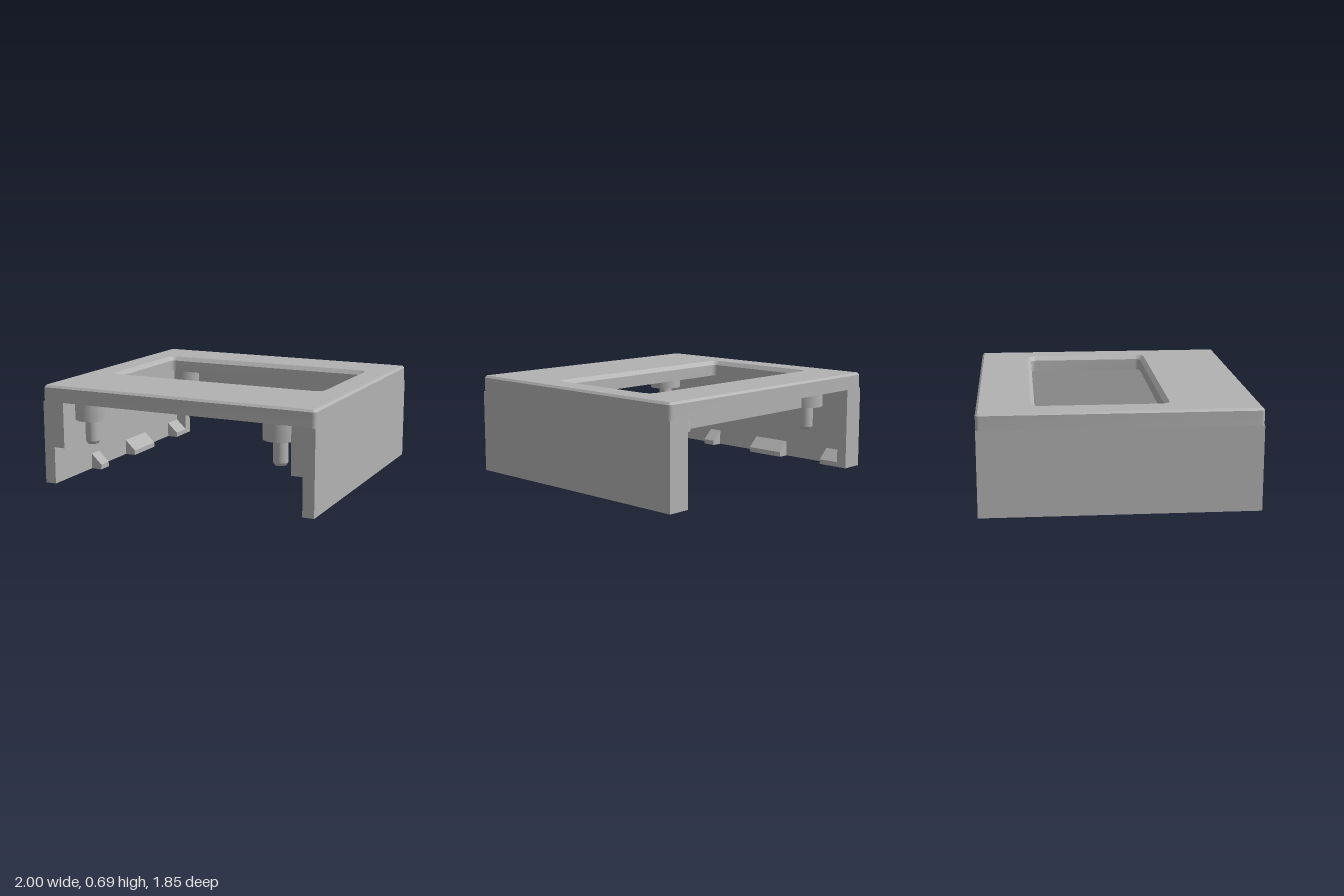
import * as THREE from 'three';
import { mergeGeometries, toCreasedNormals } from 'three/addons/utils/BufferGeometryUtils.js';

const TOP = 0.69, UNDER = 0.577, HALF_Z = 0.925;

// Rounded rectangle in plan, counter-clockwise from above, as (x, -z) points
function plan(x0, x1, z0, z1, r, steps = 6) {
  const points = [];
  const centres = [[x1 - r, -z0 - r], [x0 + r, -z0 - r], [x0 + r, -z1 + r], [x1 - r, -z1 + r]];
  centres.forEach(([cx, cy], q) => {
    for (let i = 0; i <= steps; i++) {
      const a = (q + i / steps) * Math.PI / 2;
      points.push(new THREE.Vector2(cx + r * Math.cos(a), cy + r * Math.sin(a)));
    }
  });
  return points;
}

// Strip of faces joining two plan loops at two heights
function band(low, yLow, high, yHigh, inward = false) {
  const positions = [];
  const put = (p, y) => positions.push(p.x, y, -p.y);
  for (let i = 0; i < low.length; i++) {
    const j = (i + 1) % low.length;
    const quad = [[low[i], yLow], [low[j], yLow], [high[j], yHigh], [high[i], yHigh]];
    if (inward) quad.reverse();
    [0, 1, 2, 0, 2, 3].forEach((k) => put(...quad[k]));
  }
  const geometry = new THREE.BufferGeometry();
  geometry.setAttribute('position', new THREE.Float32BufferAttribute(positions, 3));
  geometry.computeVertexNormals();
  return geometry;
}

// Flat horizontal face with optional openings
function sheet(outline, holes, y, up) {
  const shape = new THREE.Shape(outline);
  holes.forEach((h) => shape.holes.push(new THREE.Path(h)));
  const geometry = new THREE.ShapeGeometry(shape).toNonIndexed();
  geometry.deleteAttribute('uv');
  geometry.rotateX(-Math.PI / 2).translate(0, y, 0);
  if (!up) {
    const p = geometry.attributes.position;
    const a = new THREE.Vector3(), b = new THREE.Vector3();
    for (let i = 0; i < p.count; i += 3) {
      a.fromBufferAttribute(p, i + 1);
      b.fromBufferAttribute(p, i + 2);
      p.setXYZ(i + 1, b.x, b.y, b.z);
      p.setXYZ(i + 2, a.x, a.y, a.z);
    }
  }
  geometry.computeVertexNormals();
  return geometry;
}

// Side profile (x, y) carried along z
function prism(points, side, z0, z1) {
  const shape = new THREE.Shape(points.map(([x, y]) => new THREE.Vector2(x * side, y)));
  return new THREE.ExtrudeGeometry(shape, { depth: z1 - z0, bevelEnabled: false }).translate(0, 0, z0);
}

export function createModel() {
  const model = new THREE.Group();
  model.name = 'frameCover';
  const grey = new THREE.MeshStandardMaterial({ color: 0xb2b2b2 });
  grey.name = 'grey plastic';

  function add(name, geometry, parent = model) {
    const mesh = new THREE.Mesh(geometry, grey);
    mesh.name = name;
    parent.add(mesh);
    return mesh;
  }

  // Top plate: chamfered rim, chamfered window and a shallow slot underneath
  const rim = plan(-1, 1, -HALF_Z, HALF_Z, 0.025);
  const rimTop = plan(-0.985, 0.985, -HALF_Z + 0.015, HALF_Z - 0.015, 0.01);
  const opening = plan(-0.79, 0.79, -0.545, 0.31, 0.035);
  const openingTop = plan(-0.817, 0.817, -0.572, 0.337, 0.062);
  const slot = plan(-0.32, 0.32, -0.84, -0.71, 0.005, 1);
  const slotRoof = UNDER + 0.05;
  const plate = mergeGeometries([
    band(rim, UNDER, rim, TOP - 0.015),
    band(rim, TOP - 0.015, rimTop, TOP),
    band(opening, UNDER, opening, TOP - 0.03, true),
    band(opening, TOP - 0.03, openingTop, TOP, true),
    sheet(rimTop, [openingTop], TOP, true),
    sheet(rim, [opening, slot], UNDER, false),
    band(slot, UNDER, slot, slotRoof, true),
    sheet(slot, [], slotRoof, false),
  ]);
  add('topPlate', toCreasedNormals(plate, 0.5));

  // Side walls, thinner along the bottom, closed at the back, with snap clips
  const wallProfile = [[0.92, 0], [1, 0], [1, UNDER], [0.84, UNDER], [0.84, 0.26], [0.92, 0.26]];
  const blockProfile = [[0.84, 0], [1, 0], [1, UNDER], [0.84, UNDER]];
  const clipProfile = [[0.84, 0], [0.92, 0], [0.92, 0.11], [0.84, 0.035]];
  const clipSpans = [[0.36, 0.46], [-0.32, -0.02], [-0.85, -0.695]];
  for (const side of [1, -1]) {
    const wall = new THREE.Group();
    wall.name = side > 0 ? 'leftWall' : 'rightWall';
    model.add(wall);
    add('wallPanel', prism(wallProfile, side, -0.85, HALF_Z), wall);
    add('wallBackEnd', prism(blockProfile, side, -HALF_Z, -0.85), wall);
    clipSpans.forEach(([z0, z1]) => add('snapClip', prism(clipProfile, side, z0, z1), wall));
  }

  // Four round bosses with chamfered locating pins
  const pegProfile = [[0, 0.28], [0.038, 0.28], [0.05, 0.3], [0.05, 0.45], [0.117, 0.45], [0.117, UNDER]]
    .map(([r, y]) => new THREE.Vector2(r, y));
  const peg = toCreasedNormals(new THREE.LatheGeometry(pegProfile, 32), 0.5);
  for (const x of [-0.705, 0.705]) {
    for (const z of [-0.66, 0.77]) add('bossWithPin', peg).position.set(x, 0, z);
  }

  // Rib joining the two back bosses
  add('backRib', new THREE.BoxGeometry(1.2, UNDER - 0.45, 0.08)).position.set(0, (UNDER + 0.45) / 2, -0.66);

  return model;
}
